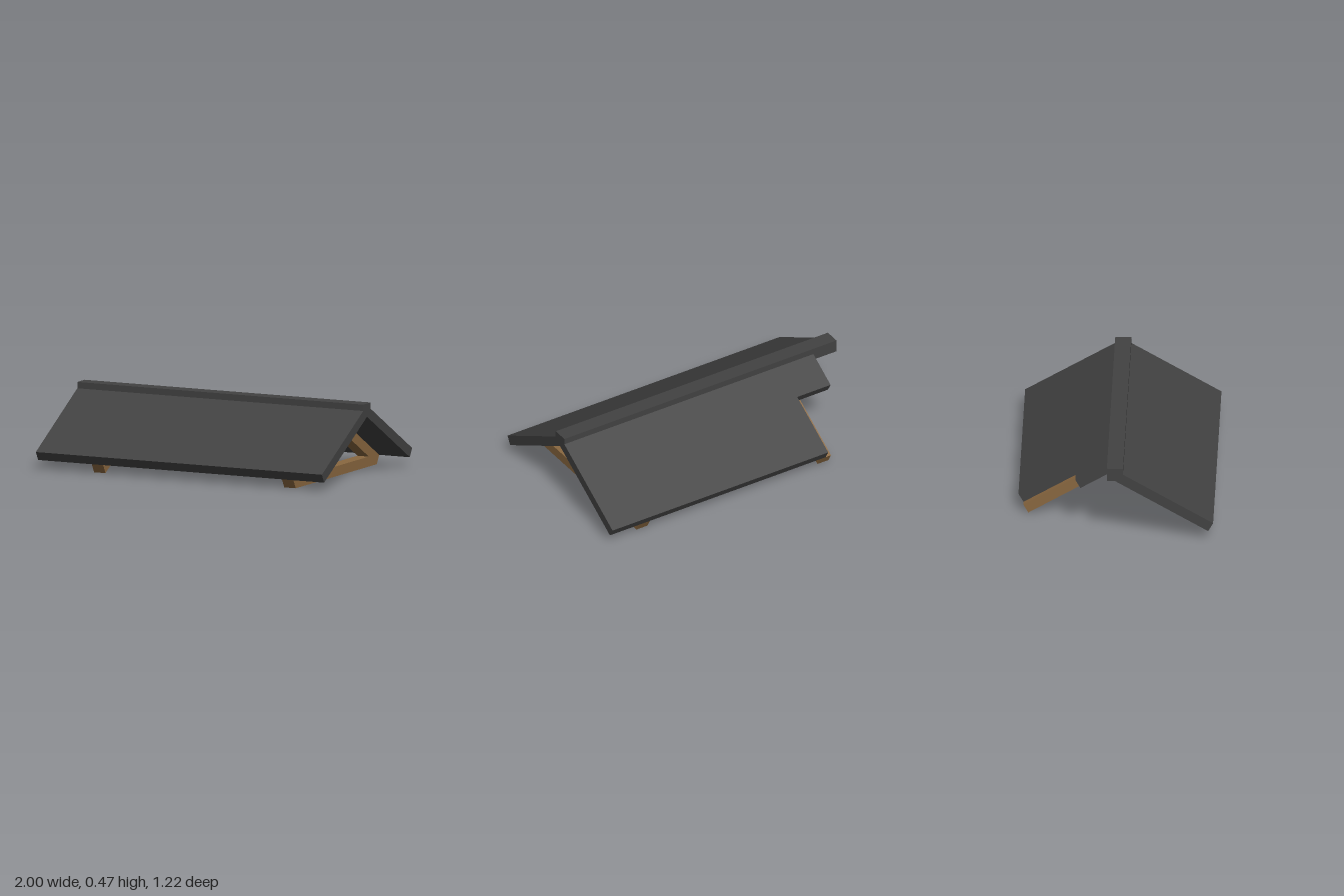
import * as THREE from 'three';

const roofGrey = new THREE.MeshStandardMaterial({ name: 'roofGrey', color: 0x424242 });
const timberBrown = new THREE.MeshStandardMaterial({ name: 'timberBrown', color: 0x8a6840 });

const toVectors = (points) => points.map(([z, y]) => new THREE.Vector2(z, y));

// Extrudes a (z, y) cross-section along x, from x0 to x1
function sectionMesh(name, material, points, x0, x1, hole) {
  const shape = new THREE.Shape(toVectors(points));
  if (hole) shape.holes.push(new THREE.Path(toVectors(hole)));
  const geometry = new THREE.ExtrudeGeometry(shape, { depth: x1 - x0, bevelEnabled: false });
  geometry.rotateY(-Math.PI / 2);
  geometry.translate(x1, 0, 0);
  const mesh = new THREE.Mesh(geometry, material);
  mesh.name = name;
  return mesh;
}

const slope = Math.tan(Math.PI / 6);
const ridgeUnder = 0.389; // underside of the slabs at the ridge
const ridgeTop = 0.461; // upper face of the slabs at the ridge
const under = (z) => [z, ridgeUnder - Math.abs(z) * slope];
const upper = (z) => [z, ridgeTop - Math.abs(z) * slope];

export function createModel() {
  const model = new THREE.Group();
  model.name = 'roof';

  // Roof slabs: full at the front, stepped back at one end behind
  model.add(
    sectionMesh('frontSlab', roofGrey, [under(0), under(0.579), upper(0.61), upper(0)], -1, 1),
    sectionMesh('backUpperSlab', roofGrey, [under(0), under(-0.219), upper(-0.25), upper(0)], -0.83, 1),
    sectionMesh('backLowerSlab', roofGrey, [under(-0.219), under(-0.579), upper(-0.61), upper(-0.25)], -0.585, 1),
  );

  // Ridge cap
  const ridge = new THREE.Mesh(new THREE.BoxGeometry(2, 0.082, 0.1), roofGrey);
  ridge.name = 'ridgeCap';
  ridge.position.y = 0.431;
  model.add(ridge);

  // Closed truss with a tie beam
  model.add(sectionMesh('closedTruss', timberBrown,
    [[-0.548, 0], [0.548, 0], under(0.579), under(0), under(-0.579)], 0.705, 0.785,
    [[-0.44, 0.0625], [0, 0.317], [0.44, 0.0625]]));

  // Open pair of rafters without a tie beam
  model.add(sectionMesh('openRafters', timberBrown,
    [[0.548, 0], under(0.579), under(0), under(-0.579), [-0.548, 0], [0, 0.317]], -0.625, -0.545));

  return model;
}
